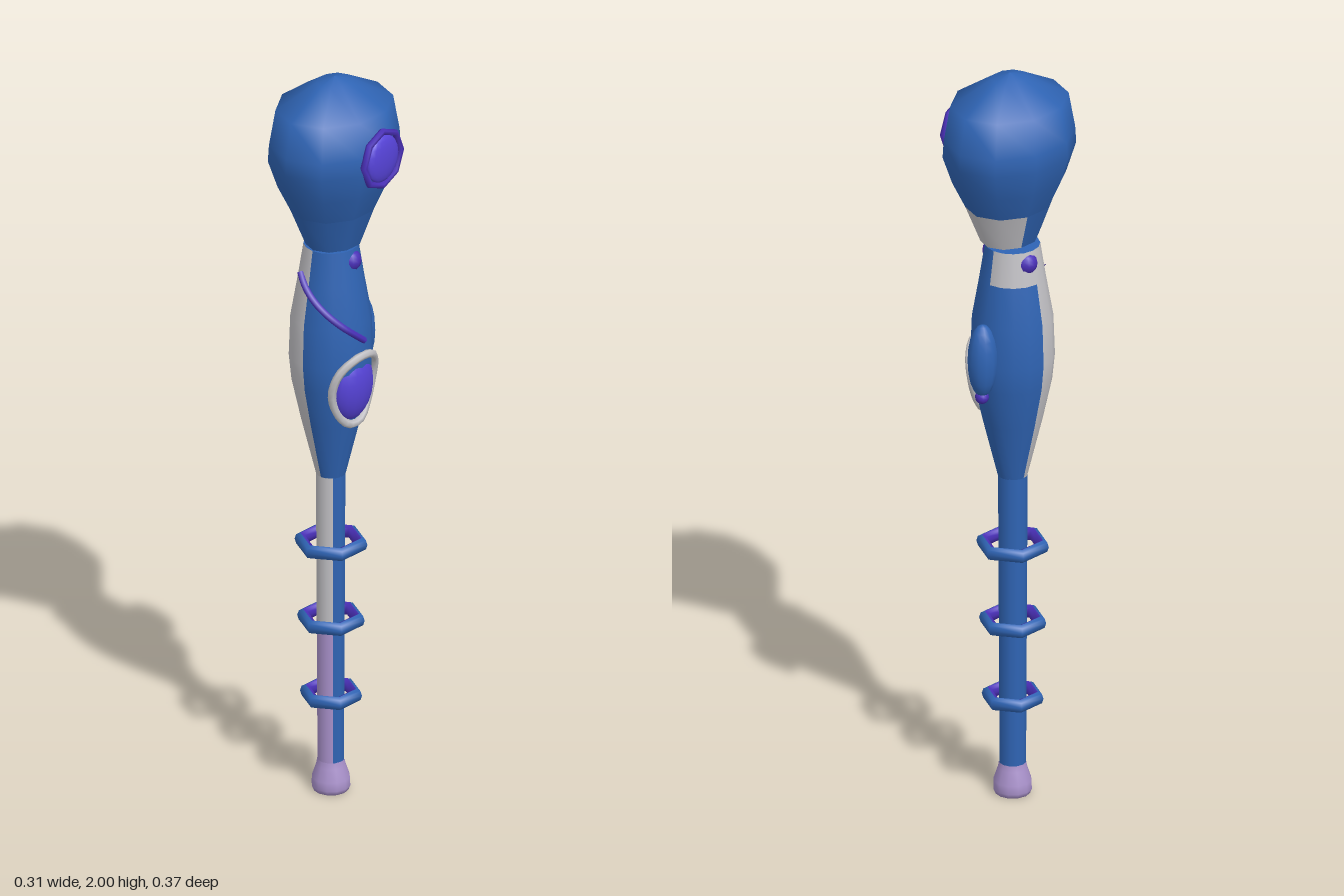
import * as THREE from 'three';

const mat = (name, color) => {
  const m = new THREE.MeshStandardMaterial({ color });
  m.name = name;
  return m;
};
const V2 = (pts) => pts.map(([r, y]) => new THREE.Vector2(r, y));
const deg = THREE.MathUtils.degToRad;

// Body profile: [radius, height]
const BODY = [[0.038, 0.885], [0.076, 1.04], [0.1, 1.15], [0.107, 1.22], [0.103, 1.33], [0.084, 1.44], [0.07, 1.53]];
const AXIS = new THREE.Vector3(-0.022, 0, -0.005);

// Point on the body surface at a height and an angle from the front towards +x
function onBody(y, phi, lift = 0) {
  let i = 1;
  while (i < BODY.length - 1 && BODY[i][1] < y) i++;
  const [r0, y0] = BODY[i - 1], [r1, y1] = BODY[i];
  const r = r0 + (r1 - r0) * (y - y0) / (y1 - y0) + lift;
  return new THREE.Vector3(AXIS.x + r * Math.sin(phi), y, AXIS.z + r * Math.cos(phi));
}

export function createModel() {
  const root = new THREE.Group();
  root.name = 'mace';
  const blue = mat('blue', 0x2f64b4);
  const grey = mat('light grey', 0xc3c2c6);
  const lavender = mat('lavender', 0xaa92cc);
  const violet = mat('violet', 0x4a30b8);
  const gemMat = mat('gem violet', 0x5643d8);

  const add = (parent, name, geo, material, x = 0, y = 0, z = 0) => {
    const m = new THREE.Mesh(geo, material);
    m.name = name;
    m.position.set(x, y, z);
    parent.add(m);
    return m;
  };
  // Lathed slice between two angles, turned from the front towards +x
  const slice = (parent, name, pts, material, from = 0, to = 360, segs = 12) =>
    add(parent, name, new THREE.LatheGeometry(V2(pts), segs, deg(from), deg(to - from)), material);

  // Shaft, body, rings and pommel share one axis
  const stem = new THREE.Group();
  stem.name = 'stem';
  stem.position.copy(AXIS);
  root.add(stem);

  // Pommel with a recess underneath
  slice(stem, 'pommel', [[0, 0.015], [0.028, 0.015], [0.031, 0], [0.045, 0], [0.05, 0.012], [0.049, 0.035], [0.038, 0.068], [0.035, 0.085]], lavender);

  // Shaft with a coloured front strip
  slice(stem, 'shaft', [[0.034, 0.07], [0.036, 0.475], [0.038, 0.89]], blue, 50, 310, 8);
  slice(stem, 'lowerShaftStrip', [[0.034, 0.07], [0.036, 0.475]], lavender, -50, 50, 4);
  slice(stem, 'upperShaftStrip', [[0.036, 0.475], [0.038, 0.89]], grey, -50, 50, 4);

  // Six-sided rings, violet on the inside
  [[0.69, 0.094], [0.477, 0.087], [0.266, 0.08]].forEach(([y, r]) => {
    const h = 0.018, inner = r - 0.03;
    slice(stem, 'shaftRing', [[r - 0.015, y - h], [r - 0.004, y - h * 0.7], [r, y], [r - 0.004, y + h * 0.7], [r - 0.015, y + h]], blue, 0, 360, 6);
    slice(stem, 'ringLining', [[r - 0.015, y + h], [inner + 0.004, y + h * 0.7], [inner, y], [inner + 0.004, y - h * 0.7], [r - 0.015, y - h]], violet, 0, 360, 6);
  });

  // Body in coloured sectors
  slice(stem, 'bodyRightSide', BODY, blue, 0, 180, 8);
  slice(stem, 'bodyFrontPanel', BODY, grey, 270, 360, 4);
  slice(stem, 'bodyBack', BODY.slice(0, 6), blue, 180, 270, 4);
  slice(stem, 'bodyBackCollar', BODY.slice(5), grey, 180, 270, 4);
  slice(stem, 'bodyTop', [[0.07, 1.53], [0, 1.53]], blue, 0, 360, 16);

  // Head: ten-sided bulb, narrower across x
  const head = new THREE.Group();
  head.name = 'head';
  head.position.set(-0.01, 0, -0.004);
  head.scale.x = 0.84;
  root.add(head);
  const upper = [[0.122, 1.64], [0.158, 1.71], [0.185, 1.785], [0.182, 1.83], [0.164, 1.925], [0.05, 1.987], [0, 2]];
  const lower = [[0.08, 1.54], [0.122, 1.64]];
  slice(head, 'headBulb', upper, blue, 0, 360, 10);
  slice(head, 'headLowerFront', lower, blue, -108, 108, 6);
  slice(head, 'headLowerBack', lower, grey, 108, 252, 4);
  slice(head, 'headBase', [[0, 1.54], [0.08, 1.54]], blue, 0, 360, 10);

  // Round gem on the head
  const headGem = new THREE.Group();
  headGem.name = 'headGem';
  headGem.position.set(0.138, 1.81, -0.02);
  headGem.rotation.y = Math.PI / 2 + 0.06;
  root.add(headGem);
  add(headGem, 'headGemRing', new THREE.TorusGeometry(0.075, 0.009, 6, 8), violet);
  add(headGem, 'headGemStone', new THREE.SphereGeometry(1, 16, 10), gemMat).scale.set(0.062, 0.064, 0.017);

  // Oval gem set into the side of the body, its rim wrapped round the surface
  const rim = [];
  for (let i = 0; i < 10; i++) {
    const a = i / 10 * Math.PI * 2;
    rim.push(onBody(1.148 + 0.1 * Math.sin(a), Math.PI / 2 + 0.82 * Math.cos(a), 0.004));
  }
  const rimCurve = new THREE.CatmullRomCurve3(rim, true);
  add(root, 'bodyGemRim', new THREE.TubeGeometry(rimCurve, 30, 0.011, 6, true), grey);
  const stone = add(root, 'bodyGemStone', new THREE.SphereGeometry(1, 16, 12), gemMat, 0.05, 1.15, -0.005);
  stone.scale.set(0.04, 0.094, 0.066);
  stone.rotation.z = -0.08;

  // Cord running diagonally across the front
  const cord = [];
  for (let i = 0; i <= 8; i++) {
    const t = i / 8;
    cord.push(onBody(1.462 - 0.175 * t, deg(-25 + 118 * t), 0.003));
  }
  add(root, 'cord', new THREE.TubeGeometry(new THREE.CatmullRomCurve3(cord), 24, 0.009, 6), violet);

  // Knobs on both sides of the collar
  for (const s of [-1, 1])
    add(root, 'collarKnob', new THREE.SphereGeometry(0.03, 12, 8), violet, AXIS.x + s * 0.055, 1.495, -0.015);

  // Pod on the back with a small knob below
  add(root, 'backPod', new THREE.SphereGeometry(1, 12, 10), blue, -0.027, 1.243, -0.122).scale.set(0.038, 0.1, 0.04);
  add(root, 'backPodKnob', new THREE.SphereGeometry(0.018, 10, 8), violet, -0.027, 1.142, -0.124);

  return root;
}
